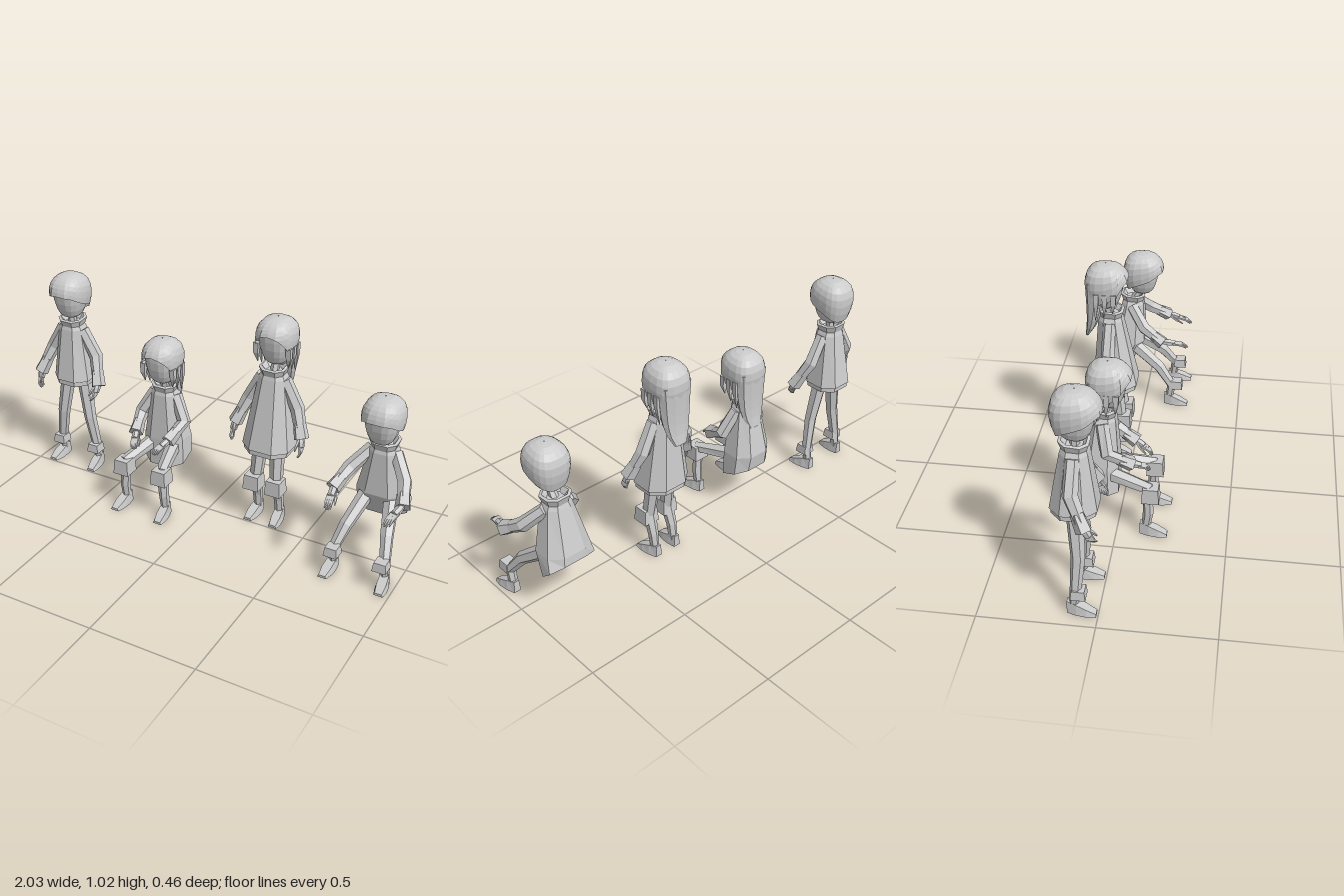
import * as THREE from 'three';

const V = (x, y, z) => new THREE.Vector3(x, y, z);
const mat = new THREE.MeshStandardMaterial({ color: 0xcccccc, flatShading: true, side: THREE.DoubleSide });
const steps = (n, fn) => Array.from({ length: n + 1 }, (_, i) => fn(i / n));
const around = (n, fn) => Array.from({ length: n }, (_, i) => fn((i + 0.5) / n * Math.PI * 2));
const power = (v, p) => Math.sign(v) * Math.abs(v) ** p;

// Skin a list of rings (each a list of points); optional caps; always wound outwards.
function loft(name, rings, caps = true) {
  const n = rings[0].length, tris = [], last = rings[rings.length - 1];
  for (let i = 0; i + 1 < rings.length; i++) for (let j = 0; j < n; j++) {
    const k = (j + 1) % n, [a, b, c, d] = [rings[i][j], rings[i][k], rings[i + 1][k], rings[i + 1][j]];
    tris.push([a, b, c], [a, c, d]);
  }
  for (let j = 1; caps && j + 1 < n; j++)
    tris.push([rings[0][0], rings[0][j + 1], rings[0][j]], [last[0], last[j], last[j + 1]]);
  const mid = V(0, 0, 0);
  rings.flat().forEach(p => mid.addScaledVector(p, 1 / (rings.length * n)));
  let vol = 0;
  for (const [a, b, c] of tris) vol += a.clone().sub(mid).dot(b.clone().sub(mid).cross(c.clone().sub(mid)));
  const geo = new THREE.BufferGeometry().setFromPoints(tris.flatMap(([a, b, c]) => vol < 0 ? [a, c, b] : [a, b, c]));
  geo.computeVertexNormals();
  const mesh = new THREE.Mesh(geo, mat);
  mesh.name = name;
  return mesh;
}

// Horizontal squarish ring; slope lowers its front edge.
const ring = (y, z, hw, hd, slope = 0, n = 8) => around(n, a => {
  const dz = power(Math.cos(a), 0.8) * hd;
  return V(power(Math.sin(a), 0.8) * hw, y - slope * dz, z + dz);
});

// Faceted limb through points with a radius at each, mirrored by s.
function limb(name, points, radii, s = 1, n = 6) {
  const p = points.map(q => V(q.x * s, q.y, q.z));
  return loft(name, p.map((q, i) => {
    const d = p[Math.min(i + 1, p.length - 1)].clone().sub(p[Math.max(i - 1, 0)]).normalize();
    const u = V(1, 0, 0).addScaledVector(d, -d.x).normalize(), w = d.clone().cross(u);
    return around(n, a => q.clone().addScaledVector(u, Math.cos(a) * radii[i]).addScaledVector(w, Math.sin(a) * radii[i]));
  }));
}

function head(chin, z, long) {
  const g = new THREE.Group();
  g.name = 'head';
  g.position.set(0, chin, z);
  // Face, mostly covered by the hair
  g.add(loft('face', steps(5, t => {
    const r = 0.04 + 0.04 * Math.sin(t * Math.PI / 2);
    return ring(0.16 * t ** 1.5, 0, r, r * 1.06, 0, 16);
  })));
  // Hair cap: domed above, narrowing below, ending at a fringe line
  const top = 0.213, wide = 0.12;
  const radius = y => y < wide ? 0.066 + 0.025 * Math.sin(y / wide * Math.PI / 2)
    : 0.091 * Math.max(0.0001, 1 - ((y - wide) / (top - wide)) ** 2.4) ** 0.42;
  const fringe = a => long ? 0.02 + 0.13 * Math.abs(Math.cos(a / 2)) ** 5.5 : 0.07 + 0.055 * Math.cos(a);
  g.add(loft('hair', steps(7, t => around(20, b => {
    const a = b - Math.PI / 20, h = Math.sin(t * Math.PI / 2), y = fringe(a) + (top - fringe(a)) * h;
    const brim = Math.cos(a) > 0.9 ? 0.01 * (1 - h) : 0;
    return V(power(Math.sin(a), 0.75) * radius(y), y, power(Math.cos(a), 0.75) * radius(y) * 1.07 + brim);
  })), false));
  if (long) {
    // Long back hair and pointed side locks
    g.add(loft('backHair', steps(6, t => ring(0.13 - 0.285 * t, -0.045 - 0.043 * t ** 3,
      0.084 - 0.05 * t ** 4 - 0.008 * Math.sin(t * Math.PI), 0.05 - 0.04 * t ** 2, 0, 10))));
    for (const s of [1, -1]) for (const k of [0, 1, 2]) {
      const lz = 0.045 - 0.04 * k;
      g.add(limb('sideLock', [V(0.078, 0.09, lz), V(0.08, 0.04, lz), V(0.074, -0.005 - 0.022 * k, lz - 0.005)], [0.018, 0.015, 0.002], s, 4));
    }
  }
  return g;
}

// Curled hand from wrist to fingertip: palm, four fingers and a thumb.
function hand(wrist, tip, s) {
  const g = new THREE.Group(), d = tip.clone().sub(wrist);
  g.name = 'hand';
  const forward = Math.abs(d.z) > Math.abs(d.y);
  const across = forward ? V(-1, 0, 0) : V(0, 0, 1), curl = forward ? V(0, -1, 0) : V(-1, 0, 0);
  const at = (t, k, c) => wrist.clone().addScaledVector(d, t).addScaledVector(across, k).addScaledVector(curl, c);
  g.add(limb('palm', [at(0, 0, 0), at(0.25, 0, 0), at(0.5, 0, 0)], [0.013, 0.018, 0.016], s));
  for (const i of [-1.5, -0.5, 0.5, 1.5]) {
    const k = i * 0.009;
    g.add(limb('finger', [at(0.42, k, 0), at(0.75, k, 0), at(1 - 0.05 * Math.abs(i), k, 0.012)], [0.0065, 0.006, 0.003], s, 4));
  }
  g.add(limb('thumb', [at(0.15, 0.009, 0.004), at(0.4, 0.022, 0.012), at(0.65, 0.025, 0.02)], [0.008, 0.007, 0.003], s, 4));
  return g;
}

// Wedge foot below the ankle, toes turned slightly out.
function foot(ankle, s) {
  return loft('foot', steps(3, t => {
    const hw = 0.017 + 0.012 * Math.sin(t * 2.8), h = 0.058 - 0.046 * t ** 1.5;
    return [[-1, 0], [1, 0], [0.75, h], [-0.75, h]]
      .map(([w, y]) => V((ankle.x + 0.011 * t + hw * w) * s, y, ankle.z - 0.026 + 0.124 * t));
  }));
}

function figure(f) {
  const g = new THREE.Group(), { neck, hem, hemSize, elbow, wrist, knee, ankle } = f;
  g.name = f.name;
  g.position.x = f.x;
  g.add(head(f.chin, f.headZ, f.long));
  g.add(limb('neck', [V(0, neck.y - 0.02, neck.z), V(0, f.chin + 0.02, f.headZ)], [0.021, 0.019]));
  // Tunic flaring to the hem; when seated its skirt folds under
  const tunic = [ring(neck.y, neck.z, 0.052, 0.05), ring(neck.y - 0.03, neck.z, 0.067, 0.06), ring(hem.y, hem.z, ...hemSize)];
  if (f.seat) tunic.push(ring(...f.seat));
  else g.add(loft('hemBand', [0.01, -0.025].map(dy => ring(hem.y + dy, hem.z, hemSize[0] - 0.007, hemSize[1] - 0.007))));
  g.add(loft('tunic', tunic));
  // Flared collar with an inner lip
  g.add(loft('collar', [[-0.015, 0.055], [0.02, 0.067], [0.024, 0.054], [0, 0.035]]
    .map(([dy, r]) => ring(neck.y + dy, neck.z, r, r * 0.97, 0.08))));
  const along = t => elbow.clone().lerp(wrist, t);
  for (const s of [1, -1]) {
    g.add(limb('sleeve', [V(0.055, neck.y - 0.035, neck.z), elbow, wrist], [0.03, 0.033, 0.027], s));
    g.add(limb('sleeveCuff', [along(0.65), along(1.35)], [0.03, 0.036], s, 5));
    g.add(hand(along(1.2), f.tip, s));
    const shin = V(ankle.x, 0.11, ankle.z + 0.01);
    g.add(limb('leg', [f.hip, knee, shin, ankle], [0.037, 0.03, 0.024, 0.02], s));
    const low = f.cuff.clone().setY(f.cuff.y - f.cuffHeight);
    g.add(limb('legCuff', [f.cuff, low], [f.cuffRadius - 0.004, f.cuffRadius + 0.003], s, 4));
    g.add(foot(ankle, s));
  }
  return g;
}

const shortCuff = { cuffHeight: 0.042, cuffRadius: 0.042 };
const bootCuff = { long: true, cuffHeight: 0.072, cuffRadius: 0.053 };

export function createModel() {
  const model = new THREE.Group();
  model.name = 'fourFigures';
  model.add(figure({
    name: 'standingBoy', x: -0.807, chin: 0.812, headZ: -0.095, ...shortCuff,
    neck: V(0, 0.775, -0.1), hem: V(0, 0.485, -0.105), hemSize: [0.104, 0.104],
    elbow: V(0.125, 0.615, -0.1), wrist: V(0.16, 0.52, -0.055), tip: V(0.16, 0.415, -0.005),
    hip: V(0.045, 0.48, -0.1), knee: V(0.08, 0.27, -0.085), ankle: V(0.105, 0.03, -0.105), cuff: V(0.104, 0.125, -0.082),
  }));
  model.add(figure({
    name: 'seatedGirl', x: -0.267, chin: 0.612, headZ: -0.05, ...bootCuff,
    neck: V(0, 0.57, -0.07), hem: V(0, 0.31, -0.085), hemSize: [0.11, 0.092], seat: [0.2, -0.08, 0.114, 0.085, 0.4],
    elbow: V(0.115, 0.42, -0.04), wrist: V(0.095, 0.375, 0.04), tip: V(0.055, 0.325, 0.145),
    hip: V(0.05, 0.28, -0.06), knee: V(0.1, 0.24, 0.14), ankle: V(0.108, 0.03, 0.132), cuff: V(0.102, 0.256, 0.152),
  }));
  model.add(figure({
    name: 'standingGirl', x: 0.273, chin: 0.803, headZ: -0.137, ...bootCuff,
    neck: V(0, 0.765, -0.115), hem: V(0, 0.4, -0.09), hemSize: [0.122, 0.11],
    elbow: V(0.12, 0.6, -0.115), wrist: V(0.155, 0.51, -0.08), tip: V(0.18, 0.395, -0.04),
    hip: V(0.042, 0.41, -0.09), knee: V(0.052, 0.21, -0.065), ankle: V(0.055, 0.03, -0.105), cuff: V(0.056, 0.24, -0.05),
  }));
  model.add(figure({
    name: 'seatedBoy', x: 0.827, chin: 0.602, headZ: -0.03, ...shortCuff,
    neck: V(0, 0.565, -0.078), hem: V(0, 0.33, -0.1), hemSize: [0.115, 0.092], seat: [0.245, -0.135, 0.125, 0.058, 0.8],
    elbow: V(0.125, 0.445, -0.005), wrist: V(0.15, 0.4, 0.07), tip: V(0.13, 0.365, 0.225),
    hip: V(0.055, 0.31, -0.07), knee: V(0.095, 0.2, 0.075), ankle: V(0.12, 0.03, 0.132), cuff: V(0.113, 0.138, 0.168),
  }));
  return model;
}
